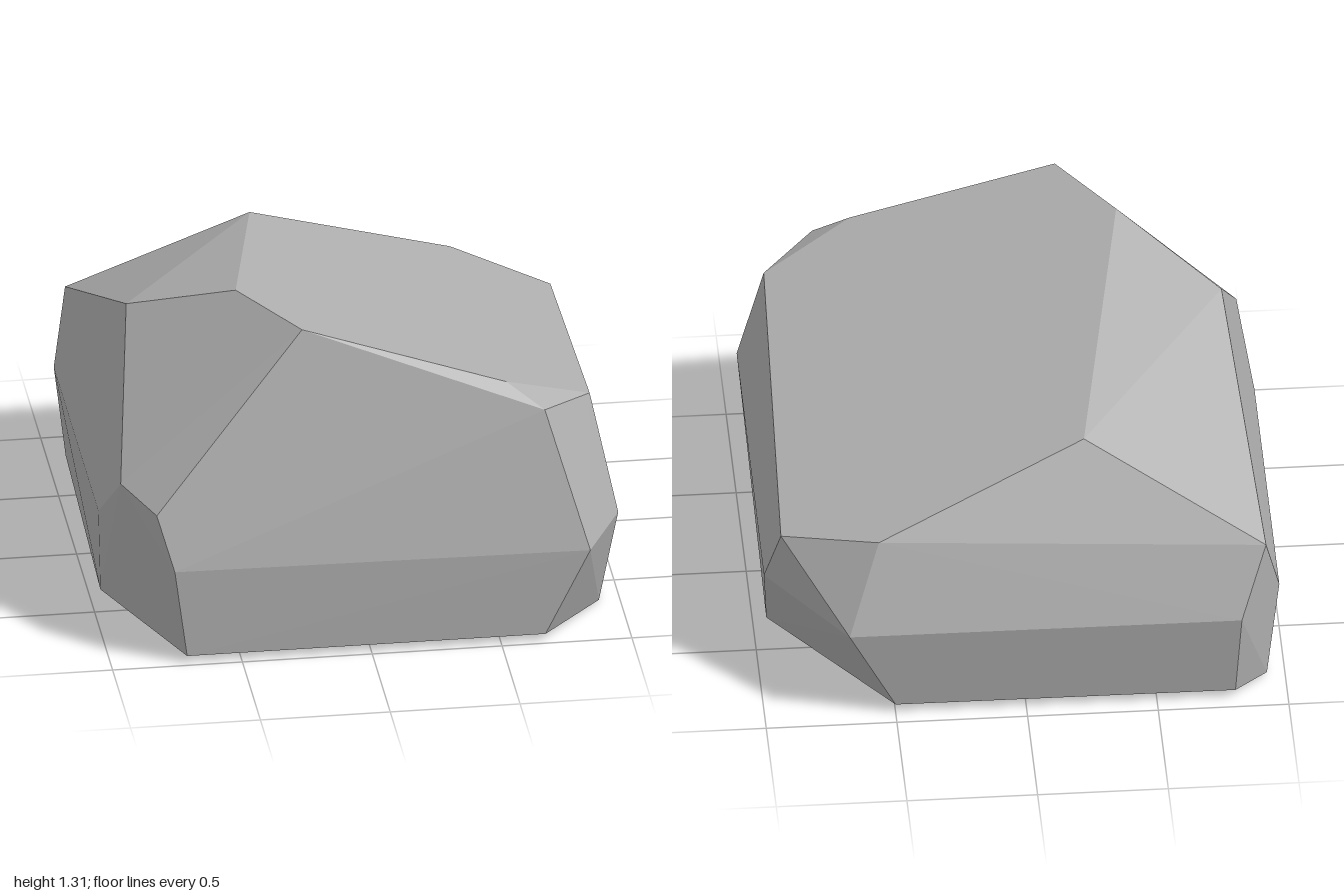
import * as THREE from 'three';
import { ConvexGeometry } from 'three/addons/geometries/ConvexGeometry.js';

// Corner rings of a faceted boulder, from the ground up: [x, y, z]
const base = [
  [-0.71, 0.03, 0.98], [0.67, 0.03, 0.98], [0.92, 0, 0.66], [0.95, 0.04, -0.35],
  [0.5, 0.04, -0.94], [-0.8, 0.035, -0.94], [-0.93, 0.015, -0.81], [-0.96, 0.03, 0.37],
];
const waist = [
  [-0.76, 0.4, 1], [0.84, 0.385, 1], [0.975, 0.44, 0.8], [0.975, 0.4, -0.56],
  [0.68, 0.415, -1], [-0.82, 0.41, -1], [-0.98, 0.41, -0.78], [-0.98, 0.41, 0.46],
];
const shoulder = [
  [-0.82, 0.61, 0.93], [0.68, 0.94, 0.89], [0.88, 0.9, 0.69], [0.92, 0.68, -0.69],
  [0.56, 0.77, -0.88], [-0.92, 0.69, -0.9], [-0.93, 0.65, 0.72],
];
const crown = [
  [-0.24, 1.29, 0.78], [0.54, 1.04, 0.83], [-0.24, 1.07, -0.68],
  [-0.83, 1.13, 0.15], [-0.45, 1.31, 0.45],
];

export function createModel() {
  const group = new THREE.Group();
  group.name = 'rock';

  const stone = new THREE.MeshStandardMaterial({ color: 0xb0b0b0 });
  stone.name = 'stone grey';
  stone.flatShading = true;

  // The boulder is the convex hull of its corner rings
  const corners = [...base, ...waist, ...shoulder, ...crown].map((p) => new THREE.Vector3(...p));
  const boulder = new THREE.Mesh(new ConvexGeometry(corners), stone);
  boulder.name = 'boulder';
  group.add(boulder);
  return group;
}
